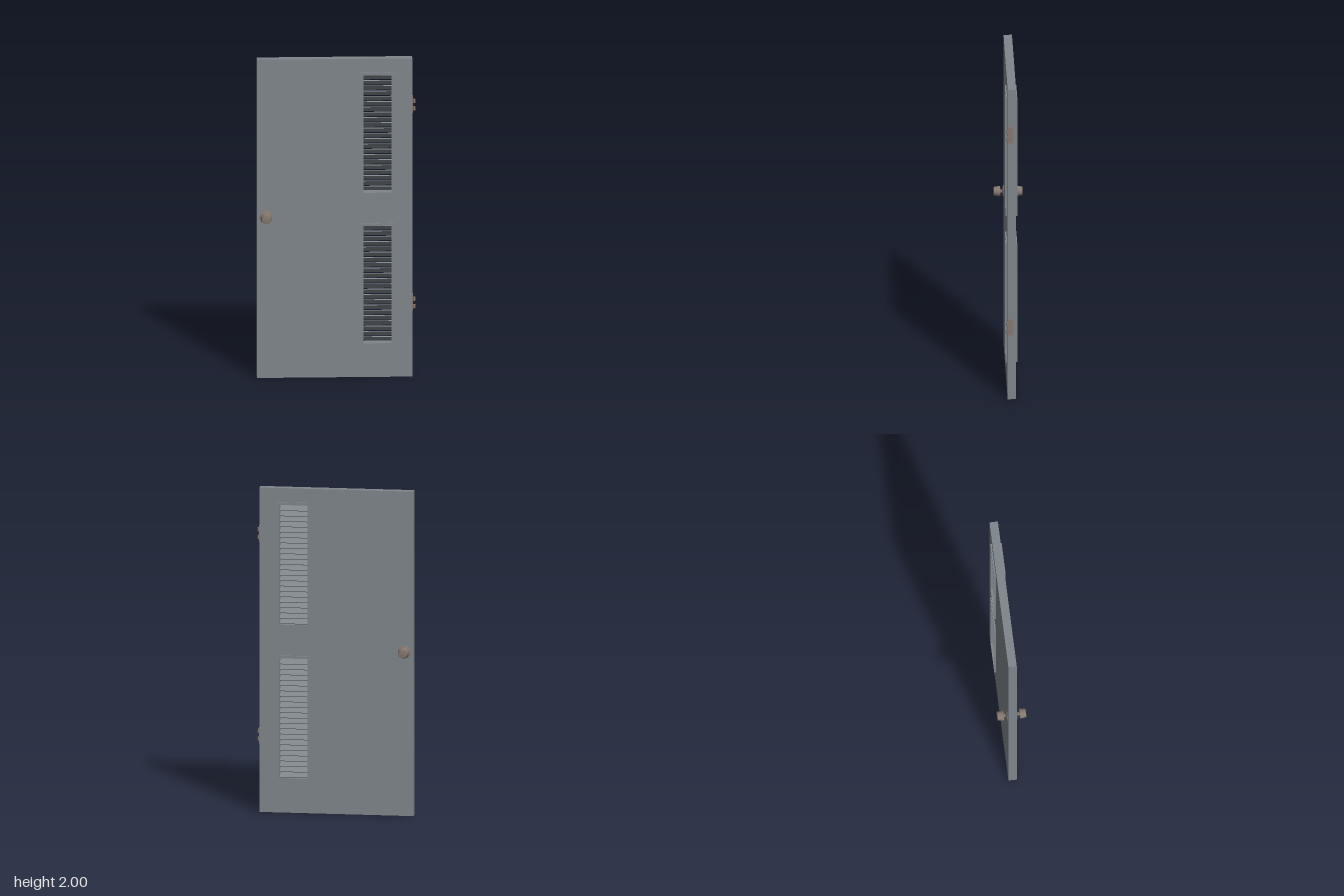
import * as THREE from 'three';

const slate = new THREE.MeshStandardMaterial({ color: 0x7f868c });
const metal = new THREE.MeshStandardMaterial({ color: 0x85776f });

// Rectangle traced from its left, right, bottom and top
function rect(Type, l, r, b, t) {
  const s = new Type();
  s.moveTo(l, b);
  s.lineTo(r, b);
  s.lineTo(r, t);
  s.lineTo(l, t);
  s.closePath();
  return s;
}

// Shape extruded along z, centred on z = 0
function slab(shape, depth) {
  return new THREE.ExtrudeGeometry(shape, { depth, bevelEnabled: false }).translate(0, 0, -depth / 2);
}

function add(parent, name, geometry, material, x = 0, y = 0, z = 0) {
  const mesh = new THREE.Mesh(geometry, material);
  mesh.name = name;
  mesh.position.set(x, y, z);
  parent.add(mesh);
  return mesh;
}

// Framed vent with tilted slats, front edges high
function makeVent(y) {
  const vent = new THREE.Group();
  vent.name = 'louverVent';
  vent.position.set(0.25, y, 0);

  const frame = rect(THREE.Shape, -0.101, 0.101, -0.385, 0.385);
  frame.holes.push(rect(THREE.Path, -0.085, 0.085, -0.369, 0.369));
  add(vent, 'ventFrame', slab(frame, 0.07), slate);

  const count = 22, pitch = 0.0332;
  const slat = new THREE.BoxGeometry(0.172, 0.005, 0.052);
  for (let i = 0; i < count; i++) {
    const m = add(vent, 'slat', slat, slate, 0, (i - (count - 1) / 2) * pitch, 0);
    m.rotation.x = -0.72;
  }
  return vent;
}

// Rosette, neck and tapered knob turned as one profile, axis along +z
function makeKnob() {
  const rosette = [[0.039, 0], [0.039, 0.003], [0.03, 0.007], [0.016, 0.01], [0.011, 0.012]];
  const neck = [[0.011, 0.011], [0.0105, 0.024]];
  const grip = [[0, 0.022], [0.027, 0.022], [0.031, 0.025], [0.0315, 0.029], [0.027, 0.06], [0.025, 0.063], [0, 0.064]];
  const knob = new THREE.Group();
  knob.name = 'knob';
  const parts = { rosette, neck, grip };
  for (const name in parts) {
    const pts = parts[name].map(([r, z]) => new THREE.Vector2(r, z));
    add(knob, name, new THREE.LatheGeometry(pts, 32).rotateX(Math.PI / 2), metal);
  }
  return knob;
}

// Leaf on the door edge with two knuckles
function makeHinge(y) {
  const hinge = new THREE.Group();
  hinge.name = 'hinge';
  hinge.position.set(0.46, y, 0);

  // Leaf outline in z (across) and y, with clipped inner corners
  const leaf = new THREE.Shape();
  [[-0.026, -0.052], [0.004, -0.052], [0.01, -0.046], [0.01, 0.046], [0.004, 0.052], [-0.026, 0.052]]
    .forEach(([a, b], i) => (i ? leaf.lineTo(a, b) : leaf.moveTo(a, b)));
  add(hinge, 'hingeLeaf', slab(leaf, 0.006).rotateY(Math.PI / 2), metal, 0.002);

  for (const s of [-1, 1]) {
    add(hinge, 'knuckle', new THREE.CylinderGeometry(0.007, 0.007, 0.023, 16), metal, 0.011, s * 0.0235, 0.026);
    add(hinge, 'knuckleTab', new THREE.BoxGeometry(0.009, 0.023, 0.006), metal, 0.0055, s * 0.0235, 0.022);
  }
  return hinge;
}

export function createModel() {
  const door = new THREE.Group();
  door.name = 'louveredDoor';

  // Door panel with an opening behind each vent frame
  const ventHeights = [0.583, 1.529];
  const panel = rect(THREE.Shape, -0.48, 0.46, 0, 2);
  for (const y of ventHeights) {
    panel.holes.push(rect(THREE.Path, 0.157, 0.343, y - 0.377, y + 0.377));
    door.add(makeVent(y));
  }
  add(door, 'panel', slab(panel, 0.051), slate);

  // Knobs on both faces
  for (const s of [1, -1]) {
    const knob = makeKnob();
    knob.position.set(-0.425, 1.01, s * 0.025);
    if (s < 0) knob.rotation.y = Math.PI;
    door.add(knob);
  }

  // Hinges on the left edge
  for (const y of [0.466, 1.709]) door.add(makeHinge(y));

  return door;
}
